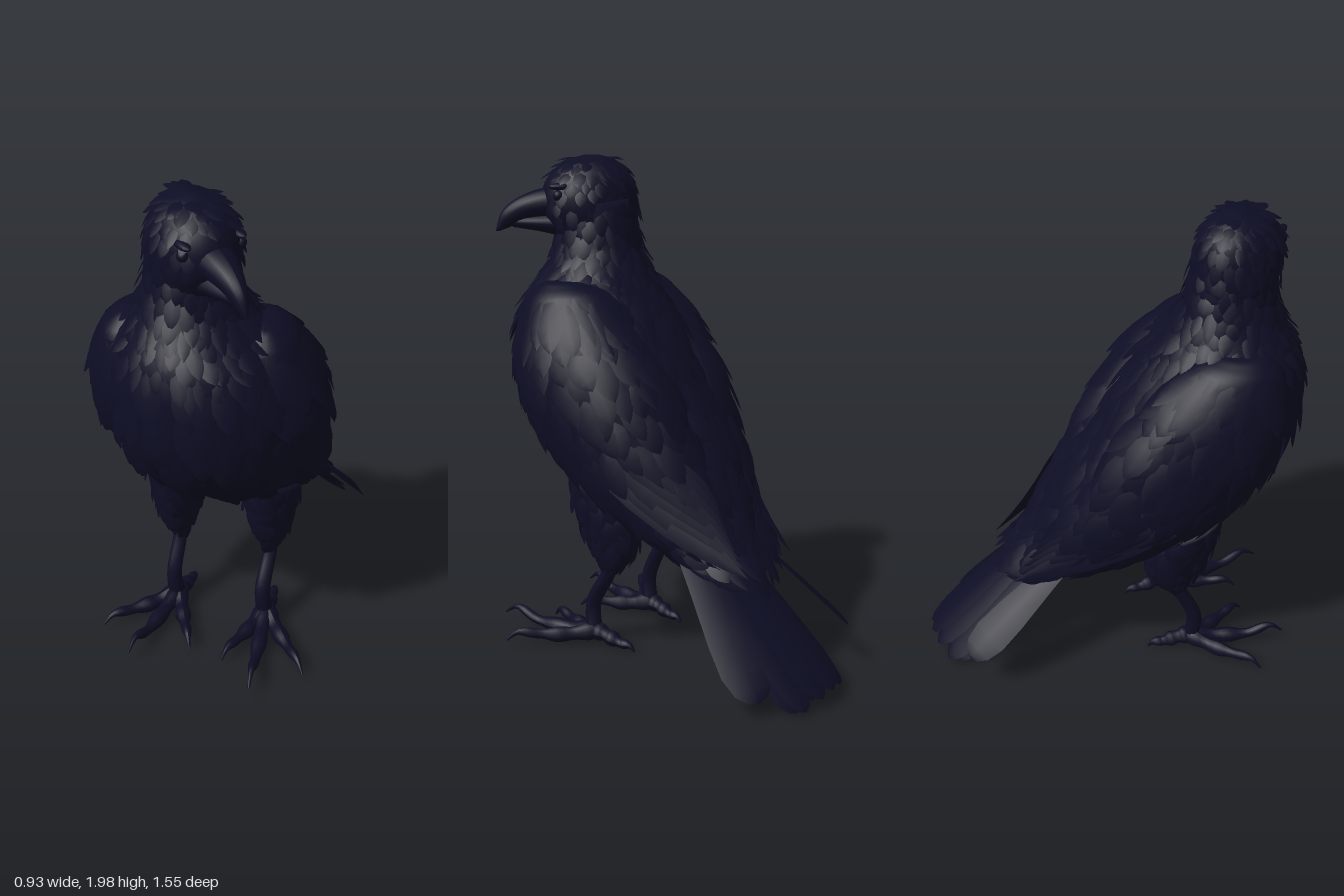
import * as THREE from 'three';
import { mergeGeometries } from 'three/addons/utils/BufferGeometryUtils.js';

const V = (x, y, z) => new THREE.Vector3(x, y, z);
const plumage = new THREE.MeshStandardMaterial({ color: 0x0d0d24, side: THREE.DoubleSide });
plumage.name = 'blue-black plumage';

// Small seeded random, 0..1
let seed = 7;
const rand = () => (seed = (seed * 16807) % 2147483647) / 2147483647;
const jitter = (r) => (rand() * 2 - 1) * r;

function gridGeometry(points, rows, cols) {
  const index = [];
  for (let i = 0; i < rows - 1; i++) {
    for (let j = 0; j < cols - 1; j++) {
      const a = i * cols + j, b = a + cols;
      index.push(a, b, a + 1, b, b + 1, a + 1);
    }
  }
  const g = new THREE.BufferGeometry().setFromPoints(points);
  g.setIndex(index);
  g.computeVertexNormals();
  return g;
}

// Smooth surface through oval sections: [frontX, halfWidth, frontY, frontZ, backY, backZ, backX = frontX]
function sectionSurface(rows) {
  const curve = (f) => new THREE.CatmullRomCurve3(rows.map(f));
  const front = curve((r) => V(r[0], r[2], r[3]));
  const back = curve((r) => V(r[6] ?? r[0], r[4], r[5]));
  const width = curve((r, i) => V(r[1], i * 0.2, 0));
  return (t, a, k = 1) => {
    t = THREE.MathUtils.clamp(t, 0, 1);
    const f = front.getPoint(t), b = back.getPoint(t);
    const mid = f.clone().add(b).multiplyScalar(0.5);
    const p = mid.clone().addScaledVector(f.sub(b), 0.5 * k * Math.cos(a));
    p.x += width.getPoint(t).x * k * Math.sin(a);
    return p;
  };
}

function loft(surface, n = 28, m = 32) {
  const pts = [];
  for (let i = 0; i <= n + 2; i++) {
    const k = i === 0 || i === n + 2 ? 0 : 1;
    for (let j = 0; j <= m; j++) pts.push(surface((i - 1) / n, (j / m) * Math.PI * 2, k));
  }
  return gridGeometry(pts, n + 3, m + 1);
}

// Cambered feather blade from base to tip
const POINTED = [[0, 0.5], [0.25, 0.9], [0.5, 1], [0.75, 0.75], [0.9, 0.38], [1, 0.02]];
const ROUNDED = [[0, 0.5], [0.3, 0.7], [0.6, 0.93], [0.8, 1], [0.92, 0.8], [0.98, 0.45], [1, 0.05]];
function feather(base, tip, normal, width, outline = POINTED) {
  const dir = tip.clone().sub(base);
  const side = dir.clone().cross(normal).normalize();
  const up = side.clone().cross(dir).normalize();
  const pts = [];
  for (const [u, w] of outline) {
    for (const e of [1, 0, -1]) {
      pts.push(base.clone().addScaledVector(dir, u)
        .addScaledVector(side, e * w * width / 2)
        .addScaledVector(up, e === 0 ? 0.1 * width * w : 0));
    }
  }
  return gridGeometry(pts, outline.length, 3);
}

// Overlapping staggered feathers laid over a surface
function cover(surface, { rows, cols, length, width, lift, from = 0.02, to = 0.95, keep = () => true }) {
  const list = [];
  for (let i = 0; i < rows; i++) {
    for (let j = 0; j < cols; j++) {
      const t = from + (to - from) * (i + jitter(0.35)) / (rows - 1);
      const a = (j + (i % 2) / 2 + jitter(0.25)) / cols * Math.PI * 2;
      if (!keep(a, t)) continue;
      const p = surface(t, a), dt = t < 0.97 ? 0.02 : -0.02;
      const dir = surface(t + dt, a).sub(p).multiplyScalar(Math.sign(dt));
      const speed = dir.length() / 0.02;
      dir.normalize();
      const across = surface(t, a + 0.05).sub(p).normalize();
      const n = dir.clone().cross(across).normalize();
      const reach = length * (1 + jitter(0.25)), end = t + reach / speed;
      const tip = p.clone().addScaledVector(dir, reach);
      if (end < 1) tip.lerp(surface(end, a), 0.6); // hug the curve
      tip.addScaledVector(across, jitter(length * 0.15)).addScaledVector(n, lift * rand());
      list.push(feather(p.addScaledVector(n, -0.004), tip, n, width * (1 + jitter(0.2))));
    }
  }
  return mergeGeometries(list);
}

// Tapered, slightly knuckled tube
function limb(points, r0, r1, knuckles = 0) {
  const curve = new THREE.CatmullRomCurve3(points), seg = 18, sides = 10;
  const g = new THREE.TubeGeometry(curve, seg, 1, sides);
  const pos = g.attributes.position, v = V(0, 0, 0);
  for (let i = 0; i < pos.count; i++) {
    const u = Math.floor(i / (sides + 1)) / seg, c = curve.getPointAt(u);
    const r = THREE.MathUtils.lerp(r0, r1, u * u) * (1 + 0.15 * Math.sin(u * knuckles * Math.PI * 2));
    v.fromBufferAttribute(pos, i).sub(c).multiplyScalar(r).add(c);
    pos.setXYZ(i, v.x, v.y, v.z);
  }
  g.computeVertexNormals();
  return g;
}

export function createModel() {
  const bird = new THREE.Group();
  bird.name = 'bird';
  const add = (name, geometry, parent = bird) => {
    const mesh = new THREE.Mesh(geometry, plumage);
    mesh.name = name;
    parent.add(mesh);
    return mesh;
  };

  // Neck, breast, belly and rump
  const body = sectionSurface([
    [-0.04, 0.15, 1.74, 0.61, 1.82, 0.29],
    [-0.05, 0.175, 1.60, 0.625, 1.64, 0.27],
    [-0.04, 0.23, 1.50, 0.68, 1.53, 0.22],
    [-0.02, 0.31, 1.40, 0.73, 1.43, 0.15],
    [-0.01, 0.36, 1.25, 0.75, 1.27, 0.05],
    [0, 0.385, 1.05, 0.725, 1.05, -0.09],
    [0, 0.38, 0.88, 0.62, 0.92, -0.17],
    [0.02, 0.34, 0.74, 0.47, 0.78, -0.24],
    [0.04, 0.29, 0.62, 0.28, 0.68, -0.28],
    [0.07, 0.24, 0.53, 0.06, 0.60, -0.32],
    [0.09, 0.21, 0.47, -0.13, 0.53, -0.37],
    [0.11, 0.13, 0.42, -0.27, 0.44, -0.43],
  ]);
  add('body', loft(body, 40, 40));
  add('neckFeathers', cover(body, { rows: 8, cols: 24, length: 0.1, width: 0.055, lift: 0.025, to: 0.27 }));
  add('bodyFeathers', cover(body, { rows: 15, cols: 24, length: 0.17, width: 0.09, lift: 0.03, from: 0.28, to: 0.9 }));

  // Head, turned towards its left
  const head = new THREE.Group();
  head.name = 'head';
  head.position.set(-0.03, 1.8, 0.47);
  head.rotation.y = 0.75;
  bird.add(head);
  const skull = sectionSurface([
    [0, 0.02, 0.187, 0.02, 0.187, -0.04],
    [0, 0.075, 0.165, 0.09, 0.17, -0.1],
    [0, 0.125, 0.115, 0.155, 0.125, -0.155],
    [0, 0.152, 0.05, 0.19, 0.06, -0.185],
    [0, 0.16, -0.03, 0.195, -0.01, -0.195],
    [0, 0.153, -0.12, 0.15, -0.1, -0.195],
    [0, 0.15, -0.21, 0.12, -0.19, -0.18],
  ]);
  add('skull', loft(skull), head);
  add('headFeathers', cover(skull, {
    rows: 9, cols: 20, length: 0.075, width: 0.045, lift: 0.02, from: 0.08,
    keep: (a, t) => Math.cos(a) < 0.85 || t < 0.3,
  }), head);
  add('upperBeak', loft(sectionSurface([
    [0, 0.08, 0.07, 0.13, -0.06, 0.13],
    [0, 0.062, 0.05, 0.22, -0.06, 0.20],
    [0, 0.043, 0.015, 0.30, -0.07, 0.27],
    [0, 0.027, -0.035, 0.355, -0.09, 0.31],
    [0, 0.005, -0.11, 0.38, -0.11, 0.365],
  ]), 16, 18), head);
  add('lowerBeak', loft(sectionSurface([
    [0, 0.075, -0.03, 0.12, -0.14, 0.1],
    [0, 0.05, -0.045, 0.22, -0.115, 0.2],
    [0, 0.015, -0.06, 0.32, -0.095, 0.31],
  ]), 10, 16), head);
  for (const s of [-1, 1]) {
    const eye = add(s > 0 ? 'leftEye' : 'rightEye', new THREE.SphereGeometry(0.022, 14, 10), head);
    eye.position.set(s * 0.107, 0.035, 0.135);
    const brow = add(s > 0 ? 'leftBrow' : 'rightBrow', new THREE.SphereGeometry(0.05, 14, 10), head);
    brow.scale.set(0.45, 0.3, 1.1);
    brow.position.set(s * 0.102, 0.07, 0.12);
  }

  // Folded wings hugging the body, drifting towards the turned tail
  for (const s of [-1, 1]) {
    const side = s > 0 ? 'left' : 'right';
    const wing = sectionSurface([
      [0.25, 0.05, 1.51, 0.5, 1.51, 0.34, 0.22, -0.025],
      [0.25, 0.13, 1.44, 0.57, 1.47, 0.24, 0.2, -0.025],
      [0.28, 0.17, 1.25, 0.59, 1.32, 0.1, 0.2, -0.01],
      [0.285, 0.19, 1.05, 0.53, 1.14, -0.04, 0.18, 0],
      [0.27, 0.18, 0.85, 0.4, 0.95, -0.13, 0.16, 0.01],
      [0.24, 0.145, 0.68, 0.2, 0.78, -0.22, 0.14, 0.03],
      [0.18, 0.125, 0.56, 0, 0.62, -0.3, 0.11, 0.055],
      [0.13, 0.1, 0.5, -0.2, 0.5, -0.4, 0.09, 0.08],
    ].map(([x, hw, yf, zf, yb, zb, xb, shift]) => [s * x + shift, hw, yf, zf, yb, zb, s * xb + shift]));
    add(side + 'Wing', loft(wing));
    add(side + 'WingCoverts', cover(wing, {
      rows: 11, cols: 20, length: 0.19, width: 0.1, lift: 0.025, from: 0.15, to: 0.85,
      keep: (a) => s * Math.sin(a) > -0.1,
    }));
    const quills = [];
    for (let k = 0; k < 7; k++) {
      const base = wing(0.62, s * (1.4 + 0.18 * k));
      const tip = V(0.09 + s * (0.17 - 0.008 * k), 0.47 + 0.03 * k, -0.45 + 0.024 * k);
      quills.push(feather(base, tip, V(s, 0.4, -0.5), 0.11));
    }
    add(side + 'FlightFeathers', mergeGeometries(quills));
  }

  // Tail fan: two arched layers and spread feathers at the sides
  const tail = [], tailUp = V(0, 0.7, -0.7);
  for (let layer = 0; layer < 2; layer++) {
    for (let k = -2; k <= 2; k++) {
      const arch = 0.01 * k * k;
      tail.push(feather(V(0.13 + 0.04 * k, 0.6 - arch - 0.06 * layer, -0.22),
        V(0.165 + 0.074 * k, 0.065 - arch - 0.015 * layer, -0.775 + 0.01 * k * k + 0.04 * layer),
        tailUp.clone().add(V(0.15 * k, 0, 0)), 0.14, ROUNDED));
    }
  }
  tail.push(feather(V(-0.07, 0.56, -0.2), V(-0.165, 0.18, -0.67), V(-0.6, 0.7, -0.6), 0.16, ROUNDED));
  tail.push(feather(V(0.26, 0.54, -0.18), V(0.42, 0.07, -0.6), V(0.6, 0.7, -0.6), 0.19, ROUNDED));
  tail.push(feather(V(0.2, 0.54, -0.18), V(0.34, 0.08, -0.57), V(0.3, 0.7, -0.6), 0.15, ROUNDED));
  add('tail', mergeGeometries(tail));

  // Legs: feathered thigh, shank, three front toes and a hind toe with curved claws
  const legs = [
    { side: 'right', x: -0.18, z: 0.28, toes: [[-0.43, 0.52], [-0.27, 0.68], [-0.05, 0.57], [-0.15, 0.11]] },
    { side: 'left', x: 0.2, z: 0.3, toes: [[0.42, 0.6], [0.24, 0.75], [0.09, 0.6], [0.2, 0.11]] },
  ];
  for (const { side, x, z, toes } of legs) {
    const thigh = sectionSurface([
      [x, 0.12, 0.76, 0.41, 0.66, 0.1],
      [x, 0.105, 0.62, 0.385, 0.56, 0.08],
      [x, 0.08, 0.5, 0.345, 0.45, 0.1],
      [x, 0.052, 0.42, 0.295, 0.39, 0.15],
      [x, 0.03, 0.37, 0.265, 0.36, 0.19],
    ]);
    add(side + 'Thigh', loft(thigh, 16, 20));
    add(side + 'ThighFeathers', cover(thigh, { rows: 8, cols: 12, length: 0.09, width: 0.055, lift: 0.02, to: 0.8 }));
    add(side + 'Shank', limb([V(x, 0.44, 0.2), V(x, 0.33, 0.235), V(x - 0.01, 0.18, z + 0.02), V(x, 0.05, z + 0.01)], 0.028, 0.036));
    toes.forEach(([tx, tz], i) => {
      const root = V(x, 0.065, z), hind = i === 3, rise = hind ? 0.035 : i === 1 ? 0.095 : 0.065;
      const at = (u, y) => V(THREE.MathUtils.lerp(x, tx, u), y, THREE.MathUtils.lerp(z, tz, u));
      add(side + (hind ? 'HindToe' : 'FrontToe' + (i + 1)), limb(
        [root, at(0.35, 0.05), at(0.65, hind ? 0.035 : 0.055), at(0.87, rise), at(1, hind ? 0.012 : rise - 0.035)],
        0.034, 0.004, 3));
    });
  }
  return bird;
}
